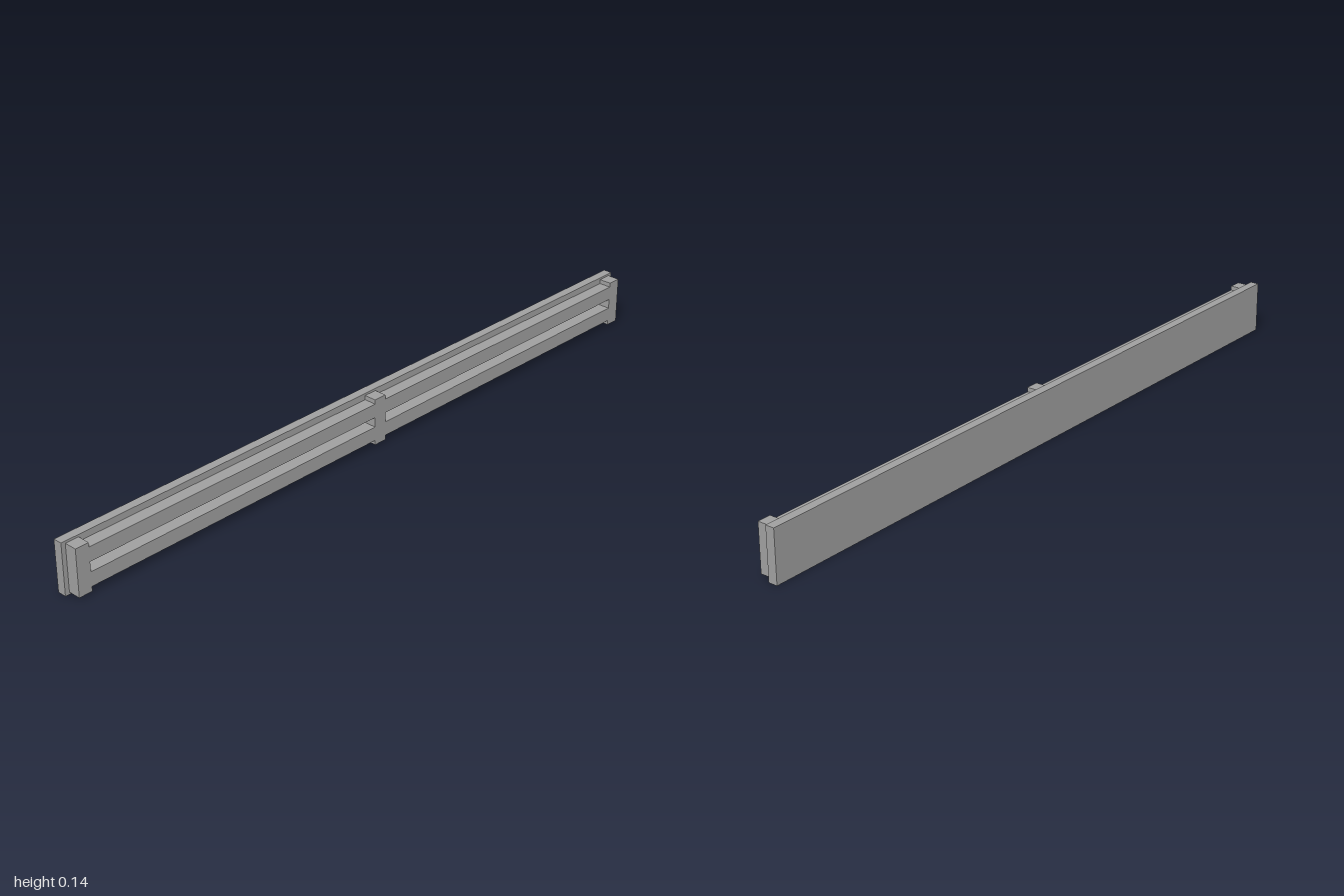
import * as THREE from 'three';

const BACK = -0.03, SEAM = -0.005, FRONT = 0.03;

export function createModel() {
  const group = new THREE.Group();
  group.name = 'slottedRail';
  const grey = new THREE.MeshStandardMaterial({ color: 0xa0a0a0 });
  grey.name = 'grey';

  // Flat back board
  const board = new THREE.Mesh(new THREE.BoxGeometry(2, 0.142, SEAM - BACK), grey);
  board.name = 'backBoard';
  board.position.set(0, 0.071, (BACK + SEAM) / 2);
  group.add(board);

  // Front frame: three taller posts joined by two flush rails
  const posts = [[-0.988, -0.95], [-0.019, 0.019], [0.95, 0.988]];
  const [low, railLow, railHigh, high] = [0.006, 0.019, 0.124, 0.136];
  const outline = [];
  for (const [a, b] of posts) {
    outline.push([a, railLow], [a, low], [b, low], [b, railLow]);
  }
  for (const [a, b] of [...posts].reverse()) {
    outline.push([b, railHigh], [b, high], [a, high], [a, railHigh]);
  }
  // The outer sides of the end posts are straight, so drop their rail corners
  const corners = outline.filter(([x, y]) =>
    Math.abs(x) < 0.98 || y === low || y === high);
  const toPoints = (list) => list.map(([x, y]) => new THREE.Vector2(x, y));
  const shape = new THREE.Shape(toPoints(corners));

  // One long slot between each pair of posts
  for (let i = 0; i < 2; i++) {
    const a = posts[i][1], b = posts[i + 1][0];
    shape.holes.push(new THREE.Path(toPoints(
      [[a, 0.058], [a, 0.085], [b, 0.085], [b, 0.058]])));
  }
  const frame = new THREE.Mesh(
    new THREE.ExtrudeGeometry(shape, { depth: FRONT - SEAM, bevelEnabled: false }), grey);
  frame.name = 'frontFrame';
  frame.position.z = SEAM;
  group.add(frame);

  return group;
}
